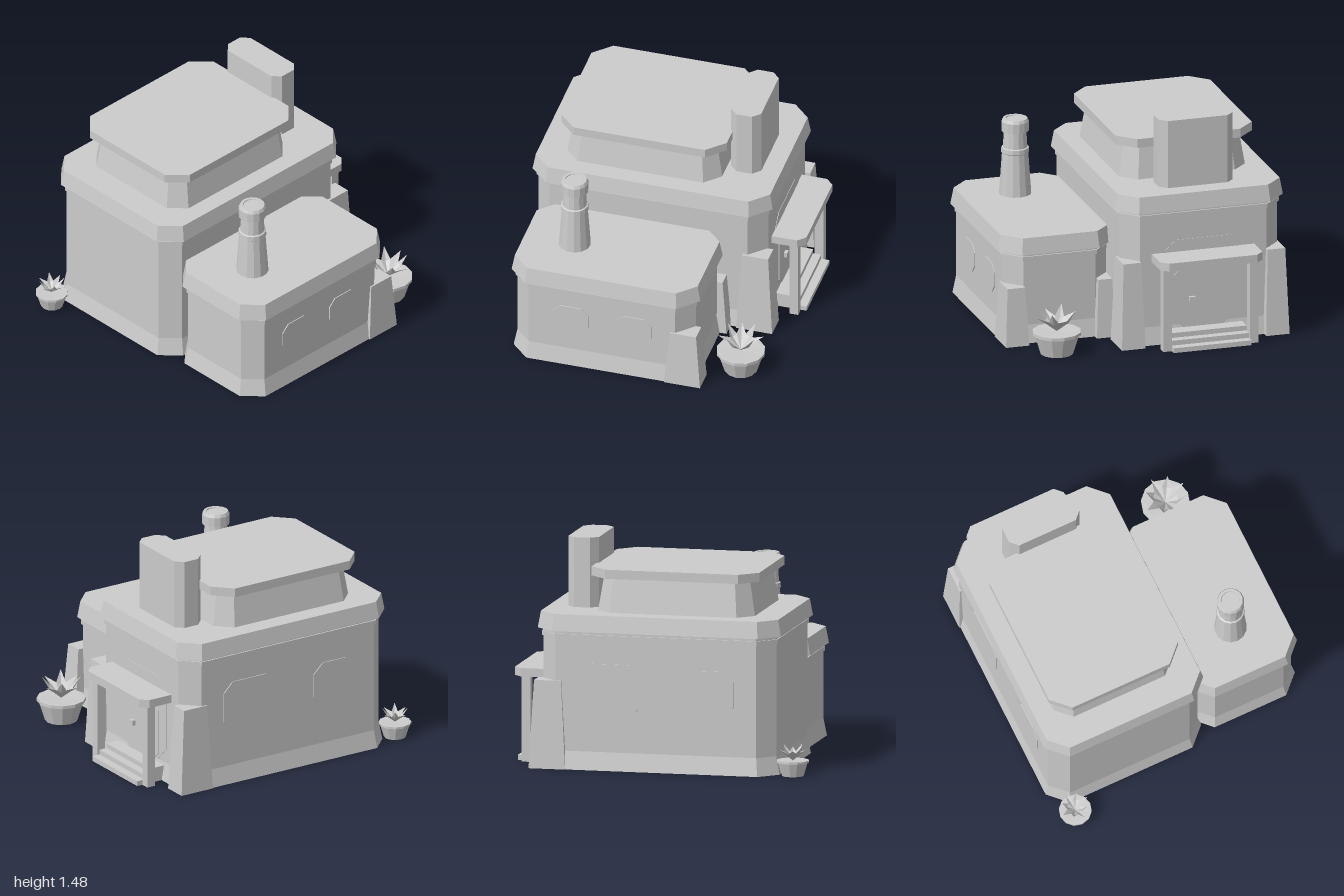
import * as THREE from 'three';

const stone = new THREE.MeshStandardMaterial({ color: 0xcccccc, flatShading: true });
stone.name = 'stone grey';
const shell = new THREE.MeshStandardMaterial({ color: 0xcccccc, flatShading: true, side: THREE.DoubleSide });
shell.name = 'stone grey, open parts';

function add(parent, name, geometry, x = 0, y = 0, z = 0, material = stone) {
  const mesh = new THREE.Mesh(geometry, material);
  mesh.name = name;
  mesh.position.set(x, y, z);
  parent.add(mesh);
  return mesh;
}

// Rectangle with cut corners, grown outwards by o
function ring([x0, x1, z0, z1], cut, y, o) {
  const a = x0 - o, b = x1 + o, n = z0 - o, f = z1 + o, c = cut + o * 0.5;
  return [[a + c, f], [b - c, f], [b, f - c], [b, n + c], [b - c, n], [a + c, n], [a, n + c], [a, f - c]]
    .map(([x, z]) => [x, y, z]);
}

// Skin a stack of rings listed from bottom to top, with optional end caps
function skin(rings, top, bottom) {
  const v = [], n = rings[0].length;
  for (let r = 0; r + 1 < rings.length; r++) {
    for (let i = 0; i < n; i++) {
      const j = (i + 1) % n, a = rings[r][i], b = rings[r][j], c = rings[r + 1][j], d = rings[r + 1][i];
      v.push(...a, ...b, ...c, ...a, ...c, ...d);
    }
  }
  const lo = rings[0], hi = rings[rings.length - 1];
  for (let i = 1; i + 1 < n; i++) {
    if (top) v.push(...hi[0], ...hi[i], ...hi[i + 1]);
    if (bottom) v.push(...lo[0], ...lo[i + 1], ...lo[i]);
  }
  const g = new THREE.BufferGeometry();
  g.setAttribute('position', new THREE.Float32BufferAttribute(v, 3));
  g.computeVertexNormals();
  return g;
}

// levels: [height, outward offset]
const block = (box, cut, levels, top = false, bottom = false) =>
  skin(levels.map(([y, o]) => ring(box, cut, y, o)), top, bottom);

// Thin cut-corner panel facing +z
function panel(w, h, c) {
  const points = ring([-w / 2, w / 2, -h / 2, h / 2], c, 0, 0).map(([x, , z]) => new THREE.Vector2(x, z));
  return new THREE.ExtrudeGeometry(new THREE.Shape(points), { depth: 0.008, bevelEnabled: false });
}

// Walls on a raised floor, open flared skirt, string course and sloping cornice
function storey(name, box, e) {
  const g = new THREE.Group();
  g.name = name;
  add(g, 'skirt', block(box, 0.108, [[0, 0.022], [0.12, 0]]), 0, 0, 0, shell);
  add(g, 'walls', block(box, 0.108, [[0.12, 0], [e, 0]], false, true));
  add(g, 'stringCourse', block(box, 0.108, [[e - 0.05, 0], [e - 0.05, 0.01], [e - 0.02, 0.01], [e - 0.02, 0]]));
  add(g, 'cornice', block(box, 0.108, [[e, 0], [e, 0.034], [e + 0.11, 0.015]], true));
  return g;
}

// Tapered corner support, open underneath
function buttress(parent, x, z, h) {
  const rect = (y, hx, hz) => [[-hx, y, hz], [hx, y, hz], [hx, y, -hz], [-hx, y, -hz]];
  add(parent, 'buttress', skin([rect(0, 0.08, 0.122), rect(h, 0.06, 0.09)], true), x, 0, z, shell);
}

// Pot with a star of folded leaves
function pottedPlant(x, z, s) {
  const g = new THREE.Group();
  g.name = 'pottedPlant';
  const profile = [[0.072, 0], [0.099, 0.088], [0.107, 0.088], [0.107, 0.102], [0.09, 0.102], [0, 0.098]];
  add(g, 'pot', new THREE.LatheGeometry(profile.map(p => new THREE.Vector2(...p)), 12), 0, 0, 0, shell);
  const v = [], n = 8;
  const at = (a, r, y) => [Math.sin(a) * r, y, Math.cos(a) * r];
  for (let i = 0; i < n; i++) {
    const a = (i + 0.3) / n * Math.PI * 2, half = Math.PI / n;
    const root = at(a, 0, 0.1), left = at(a - half, 0.053, 0.153), right = at(a + half, 0.053, 0.153);
    const tip = at(a, i % 2 ? 0.085 : 0.1, i % 2 ? 0.2 : 0.175);
    const mid = at(a, 0.053, 0.142);
    v.push(...root, ...mid, ...left, ...left, ...mid, ...tip, ...root, ...right, ...mid, ...mid, ...right, ...tip);
  }
  const leaves = new THREE.BufferGeometry();
  leaves.setAttribute('position', new THREE.Float32BufferAttribute(v, 3));
  leaves.computeVertexNormals();
  add(g, 'leaves', leaves, 0, 0, 0, shell);
  g.position.set(x, 0, z);
  g.scale.setScalar(s);
  return g;
}

export function createModel() {
  const house = new THREE.Group();
  house.name = 'house';

  // Main hall and lower side wing
  house.add(storey('mainHall', [-0.89, 0.187, -0.778, 0.778], 0.91));
  house.add(storey('sideWing', [0.183, 0.892, -0.492, 0.715], 0.61));

  // Upper storey with overhanging slab roof
  add(house, 'upperStorey', block([-0.776, 0.082, -0.438, 0.61], 0.1, [[1.02, 0], [1.25, -0.037]]));
  add(house, 'upperRoof', block([-0.816, 0.114, -0.475, 0.645], 0.115, [[1.25, -0.07], [1.25, 0], [1.31, 0]], true));
  add(house, 'roofStack', block([-0.605, -0.098, -0.665, -0.46], 0.05, [[1.02, 0], [1.48, 0]], true));

  // Round chimney
  const chimney = [[0.106, 0.715], [0.086, 1.0], [0.092, 1.005], [0.09, 1.035], [0.08, 1.04], [0.074, 1.145],
    [0.09, 1.15], [0.09, 1.215], [0.08, 1.235], [0.062, 1.235], [0.06, 1.228], [0, 1.228]];
  add(house, 'chimney', new THREE.LatheGeometry(chimney.map(p => new THREE.Vector2(...p)), 14), 0.558, 0, 0.393);

  // Corner buttresses
  for (const x of [-0.84, 0.143]) buttress(house, x, -0.723, 0.58);
  for (const x of [0.223, 0.843]) buttress(house, x, -0.438, 0.39);

  // Windows on both outer sides
  for (const z of [0.323, -0.1]) {
    add(house, 'wingWindow', panel(0.245, 0.195, 0.05), 0.89, 0.357, z).rotation.y = Math.PI / 2;
  }
  for (const [z, w, h] of [[-0.3, 0.4, 0.34], [0.36, 0.32, 0.3]]) {
    add(house, 'hallWindow', panel(w, h, 0.07), -0.888, 0.53, z).rotation.y = -Math.PI / 2;
  }

  // Entrance porch at the back
  const porch = new THREE.Group();
  porch.name = 'porch';
  add(porch, 'porchRoof', block([-0.7, 0, -1, -0.72], 0.05, [[0.565, 0], [0.62, 0]], true));
  for (const x of [-0.645, -0.055]) add(porch, 'post', new THREE.BoxGeometry(0.06, 0.59, 0.06), x, 0.295, -0.92);
  for (let i = 0; i < 3; i++) {
    const depth = 0.22 - i * 0.055, height = 0.033 * (i + 1);
    add(porch, 'step', new THREE.BoxGeometry(0.53, height, depth), -0.35, height / 2, -0.77 - depth / 2);
  }
  add(porch, 'doorSurround', panel(0.58, 0.58, 0.1), -0.35, 0.41, -0.773).rotation.y = Math.PI;
  add(porch, 'door', panel(0.4, 0.42, 0.06), -0.35, 0.31, -0.779).rotation.y = Math.PI;
  add(porch, 'doorKnob', new THREE.BoxGeometry(0.035, 0.035, 0.03), -0.27, 0.29, -0.795);
  house.add(porch);

  house.add(pottedPlant(-0.8, 0.893, 1), pottedPlant(0.64, -0.755, 1.5));
  return house;
}
